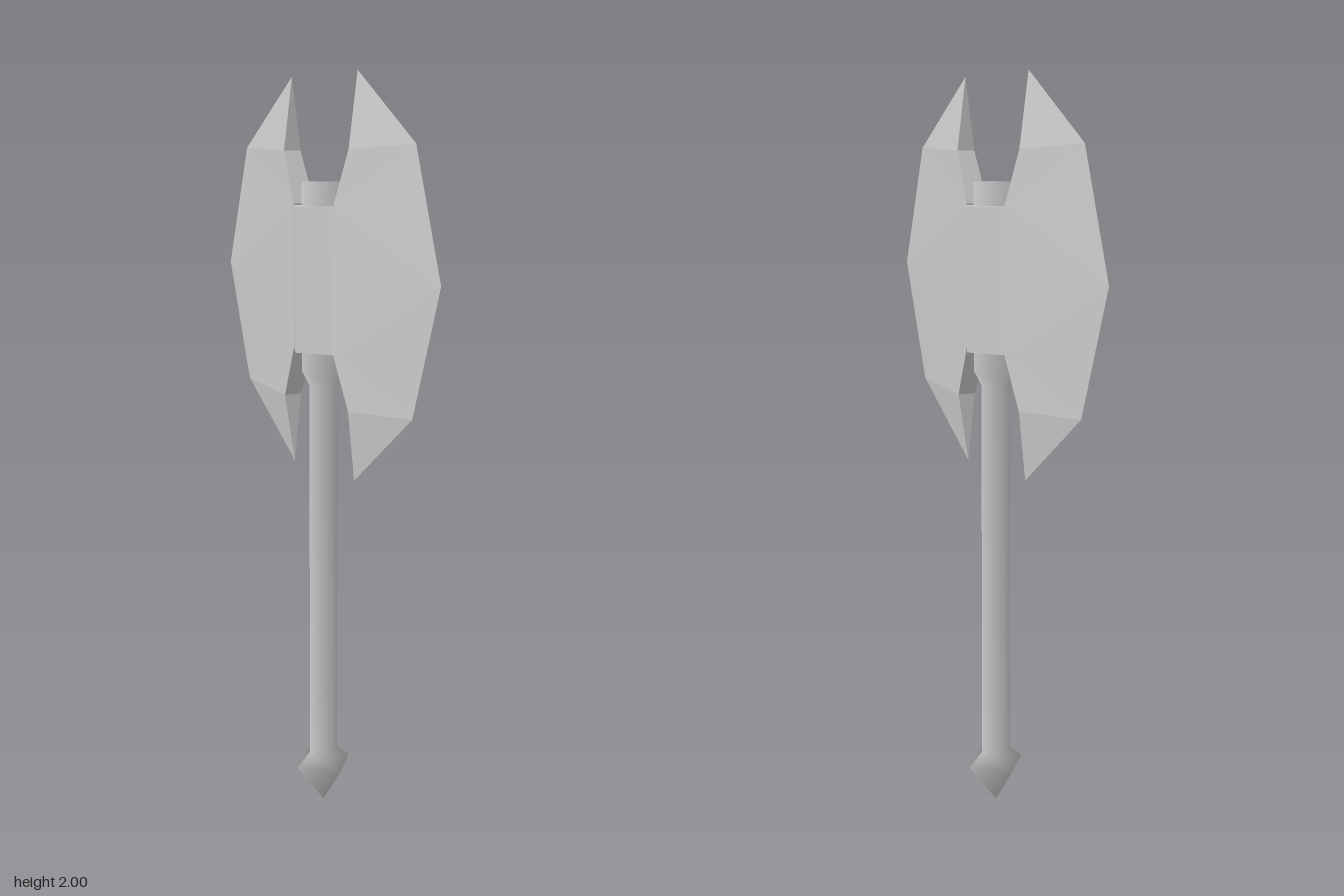
import * as THREE from 'three';

const steel = new THREE.MeshStandardMaterial({ color: 0xcccccc });
steel.name = 'steel';

function part(name, geometry) {
  const mesh = new THREE.Mesh(geometry, steel);
  mesh.name = name;
  return mesh;
}

// Four-sided turned part with soft normals, corners on the x and z axes
function turned(name, profile) {
  const points = profile.map(([r, y]) => new THREE.Vector2(r, y));
  return part(name, new THREE.LatheGeometry(points, 4));
}

// Wedge blade: thick at the socket, tapering to a sharp outer edge
function bladeGeometry() {
  const points = {
    notchTop: [0.026, 1.81, 0.155], rootTop: [0.033, 1.672, 0.097],
    rootLow: [0.033, 1.29, 0.097], notchLow: [0.026, 1.15, 0.157],
    edge0: [0, 2, 0.155], edge1: [0, 1.82, 0.4], edge2: [0, 1.495, 0.505],
    edge3: [0, 1.165, 0.4], edge4: [0, 0.963, 0.148],
  };
  const cheek = [
    'notchTop edge0 edge1', 'notchTop edge1 rootTop', 'rootTop edge1 edge2',
    'rootTop edge2 rootLow', 'rootLow edge2 edge3', 'rootLow edge3 notchLow',
    'notchLow edge3 edge4',
  ];
  // A leading minus picks the corner mirrored to -x
  const notches = [
    'rootTop -rootTop -notchTop', 'rootTop -notchTop notchTop', 'notchTop -notchTop edge0',
    'notchLow -notchLow -rootLow', 'notchLow -rootLow rootLow', 'edge4 -notchLow notchLow',
  ];
  const positions = [];
  const add = (names) => {
    for (const n of names) {
      const [x, y, z] = points[n.replace('-', '')];
      positions.push(n[0] === '-' ? -x : x, y, z);
    }
  };
  for (const face of cheek) {
    const names = face.split(' ');
    add(names);
    add(names.map((n) => '-' + n).reverse());
  }
  for (const face of notches) add(face.split(' '));
  const geometry = new THREE.BufferGeometry();
  geometry.setAttribute('position', new THREE.Float32BufferAttribute(positions, 3));
  geometry.computeVertexNormals();
  return geometry;
}

export function createModel() {
  const axe = new THREE.Group();
  axe.name = 'doubleAxe';

  // Pommel, shaft and the thicker collar through the head
  axe.add(turned('handle', [
    [0, 0], [0.086, 0.115], [0.045, 0.152], [0.045, 1.2],
    [0.068, 1.24], [0.068, 1.73], [0, 1.73],
  ]));

  // Six-sided socket around the collar
  const outline = [[0.088, 0], [0.033, 0.097], [-0.033, 0.097], [-0.088, 0], [-0.033, -0.097], [0.033, -0.097]];
  const shape = new THREE.Shape(outline.map(([x, y]) => new THREE.Vector2(x, y)));
  const socket = new THREE.ExtrudeGeometry(shape, { depth: 0.378, bevelEnabled: false });
  socket.rotateX(-Math.PI / 2).translate(0, 1.29, 0);
  axe.add(part('socket', socket));

  // Matching blades front and back
  const geometry = bladeGeometry();
  ['frontBlade', 'backBlade'].forEach((name, i) => {
    const blade = part(name, geometry);
    blade.rotation.y = i * Math.PI;
    axe.add(blade);
  });
  return axe;
}
